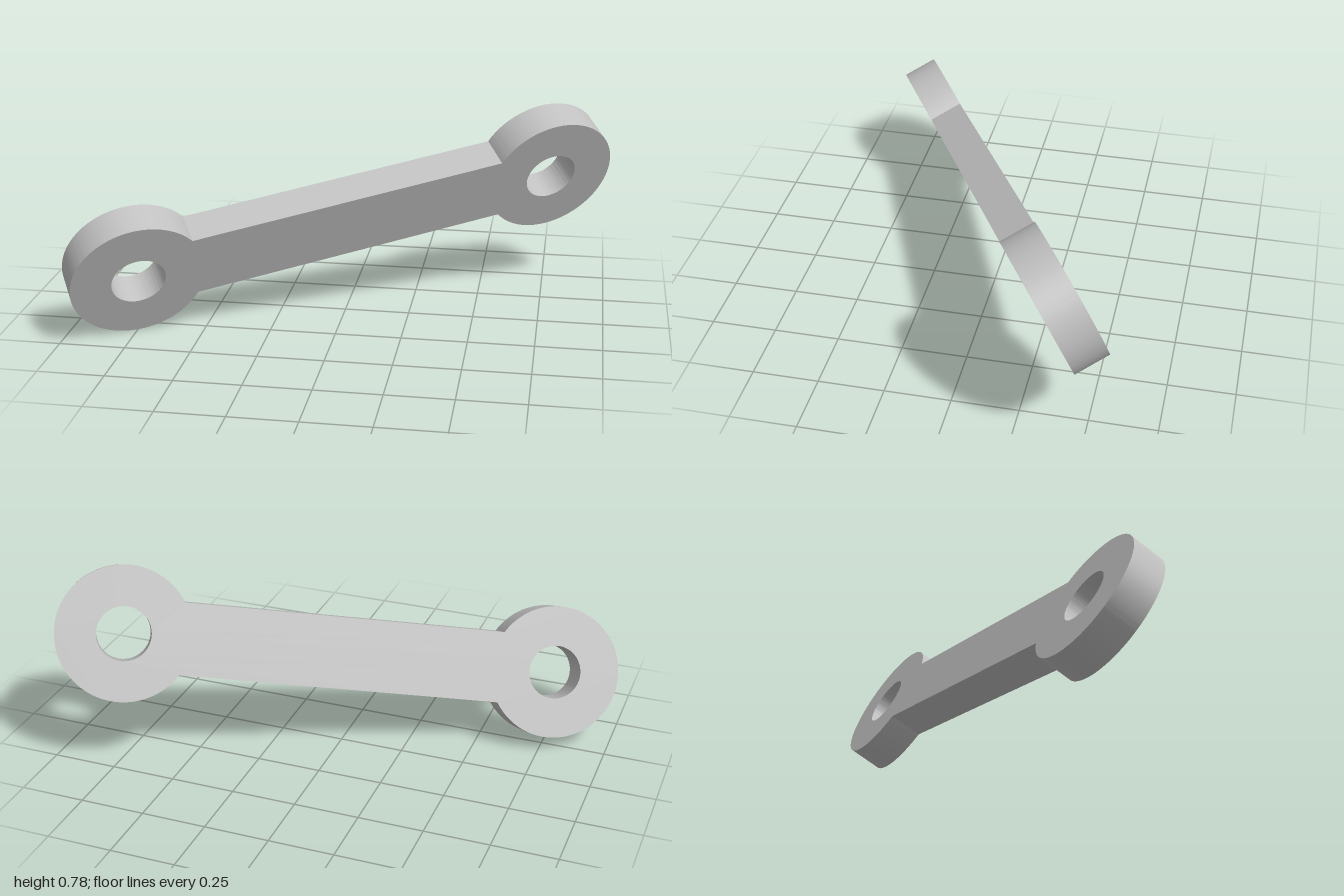
import * as THREE from 'three';
import { toCreasedNormals } from 'three/addons/utils/BufferGeometryUtils.js';

const RING = 0.257, HOLE = 0.103, ARM = 0.137, SPAN = 0.835, THICK = 0.137;

export function createModel() {
  const group = new THREE.Group();
  const metal = new THREE.MeshStandardMaterial({ color: 0xc0c0c0 });
  metal.name = 'grey metal';

  // Outline: two round eyes, joined by a straight arm
  const a = Math.asin(ARM / RING);
  const shape = new THREE.Shape();
  shape.absarc(-SPAN, 0, RING, a, 2 * Math.PI - a, false);
  shape.absarc(SPAN, 0, RING, Math.PI + a, 3 * Math.PI - a, false);
  shape.closePath();

  // Pin holes
  for (const side of [-1, 1]) {
    const hole = new THREE.Path();
    hole.absarc(side * SPAN, 0, HOLE, 0, 2 * Math.PI, true);
    shape.holes.push(hole);
  }

  let geometry = new THREE.ExtrudeGeometry(shape, { depth: THICK, bevelEnabled: false, curveSegments: 64 });
  geometry.translate(0, 0, -THICK / 2);
  geometry.clearGroups();
  geometry = toCreasedNormals(geometry, 0.5);

  // Tilted pose: u runs along the arm, v across it, n out of the front face
  const u = new THREE.Vector3(0.886, 0.152, -0.437).normalize();
  const n = u.clone().cross(new THREE.Vector3(0.056, 0.902, 0.427)).normalize();
  const v = n.clone().cross(u);
  geometry.applyMatrix4(new THREE.Matrix4().makeBasis(u, v, n));
  geometry.computeBoundingBox();
  geometry.translate(0, -geometry.boundingBox.min.y, 0);

  const link = new THREE.Mesh(geometry, metal);
  link.name = 'linkArm';
  group.add(link);
  return group;
}
